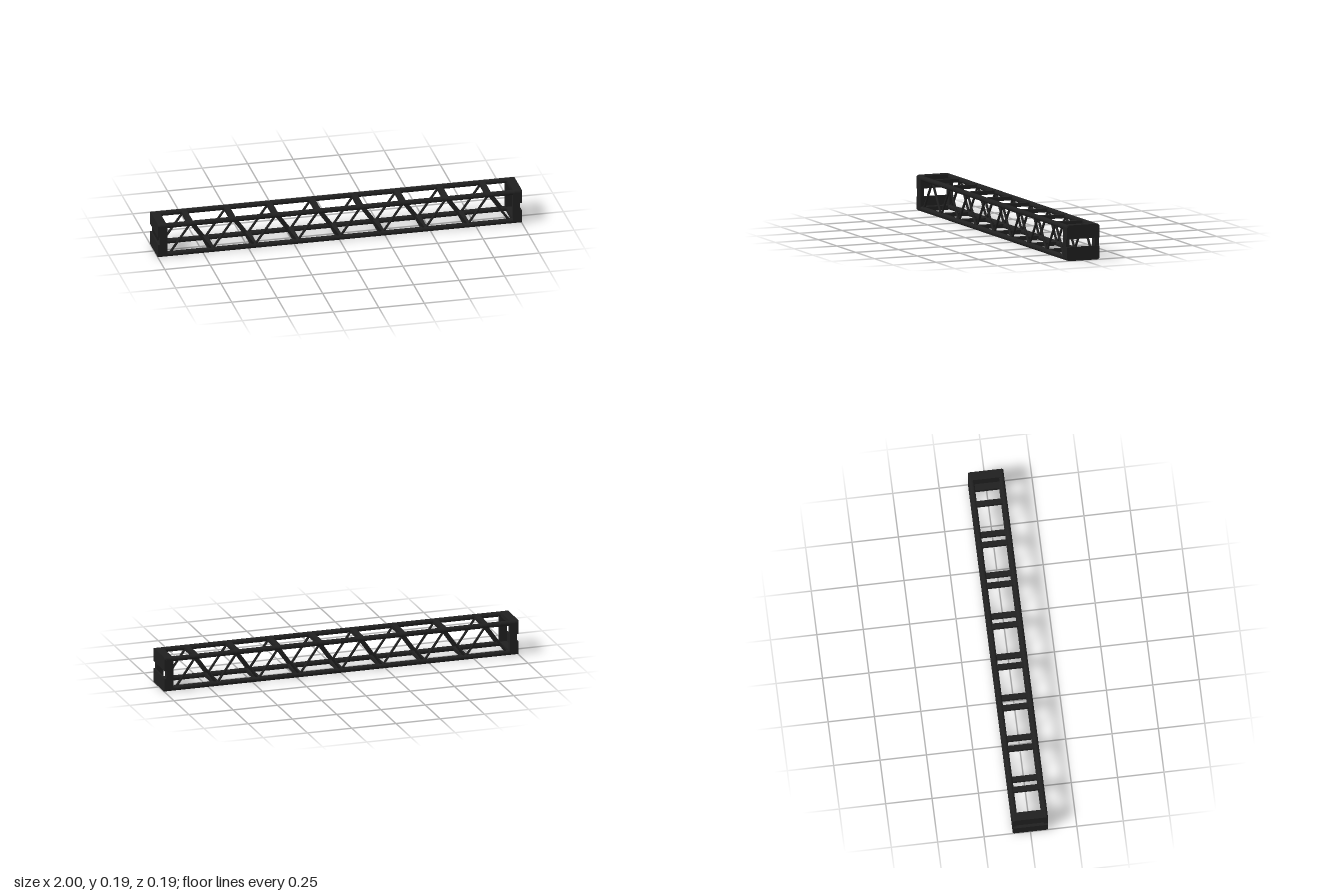
import * as THREE from 'three';

const H = 0.193;          // overall height
const W = 0.0955;         // half depth
const R = 0.014;          // chord tube radius
const YB = R, YT = H - R; // chord centre heights
const ZC = W - R;         // chord centre depth
const STEP = 0.117;       // spacing of truss nodes

export function createModel() {
  const model = new THREE.Group();
  const black = new THREE.MeshStandardMaterial({ color: 0x202020 });
  black.name = 'matte black';

  const add = (name, geometry, x = 0, y = 0, z = 0) => {
    const mesh = new THREE.Mesh(geometry, black);
    mesh.name = name;
    mesh.position.set(x, y, z);
    model.add(mesh);
    return mesh;
  };
  const box = (name, sx, sy, sz, x, y, z) => add(name, new THREE.BoxGeometry(sx, sy, sz), x, y, z);

  // Four hollow chord tubes along the length
  const ring = new THREE.Shape().absarc(0, 0, R, 0, Math.PI * 2, false);
  ring.holes.push(new THREE.Path().absarc(0, 0, R - 0.0035, 0, Math.PI * 2, true));
  const chordGeometry = new THREE.ExtrudeGeometry(ring, { depth: 2, bevelEnabled: false, curveSegments: 16 });
  chordGeometry.translate(0, 0, -1).rotateY(Math.PI / 2);
  for (const y of [YB, YT]) for (const z of [-ZC, ZC]) add('chord', chordGeometry, 0, y, z);

  // Zigzag braces on both sides, with a flat rung across at every node
  const nodeAt = (i, z) => new THREE.Vector3(i * STEP, i % 2 ? YT : YB, z);
  const up = new THREE.Vector3(0, 1, 0);
  for (let i = -8; i < 8; i++) {
    for (const z of [-ZC, ZC]) {
      const a = nodeAt(i, z), b = nodeAt(i + 1, z);
      const direction = b.clone().sub(a);
      const brace = add('diagonalBrace', new THREE.CylinderGeometry(0.0065, 0.0065, direction.length(), 12));
      brace.position.copy(a).add(b).multiplyScalar(0.5);
      brace.quaternion.setFromUnitVectors(up, direction.normalize());
    }
    if (i > -8) box('crossRung', 0.03, 0.02, 2 * ZC, i * STEP, i % 2 ? YT : YB, 0);
  }

  // End plate half, with its outer corners cut off to clear the chord tubes
  const cut = 0.017, edge = 0.118;
  const plate = new THREE.Shape([
    [-W, edge], [W, edge], [W, H - cut], [W - cut, H], [cut - W, H], [-W, H - cut],
  ].map(([z, y]) => new THREE.Vector2(z, y - H / 2)));
  const plateGeometry = new THREE.ExtrudeGeometry(plate, { depth: 0.01, bevelEnabled: false });
  plateGeometry.translate(0, 0, -0.005).rotateY(Math.PI / 2);

  for (const side of [-1, 1]) {
    // Upper and lower end plates with a slot between them
    add('upperEndPlate', plateGeometry, side * 0.995, H / 2, 0);
    add('lowerEndPlate', plateGeometry, side * 0.995, H / 2, 0).rotation.x = Math.PI;
    // Posts and cross bars framing the end
    for (const z of [-1, 1]) box('endPost', 0.04, YT - YB, 0.021, side * 0.97, H / 2, z * 0.085);
    for (const y of [0.012, H - 0.012]) box('endCrossBar', 0.04, 0.023, 2 * ZC, side * 0.973, y, 0);
  }
  return model;
}
